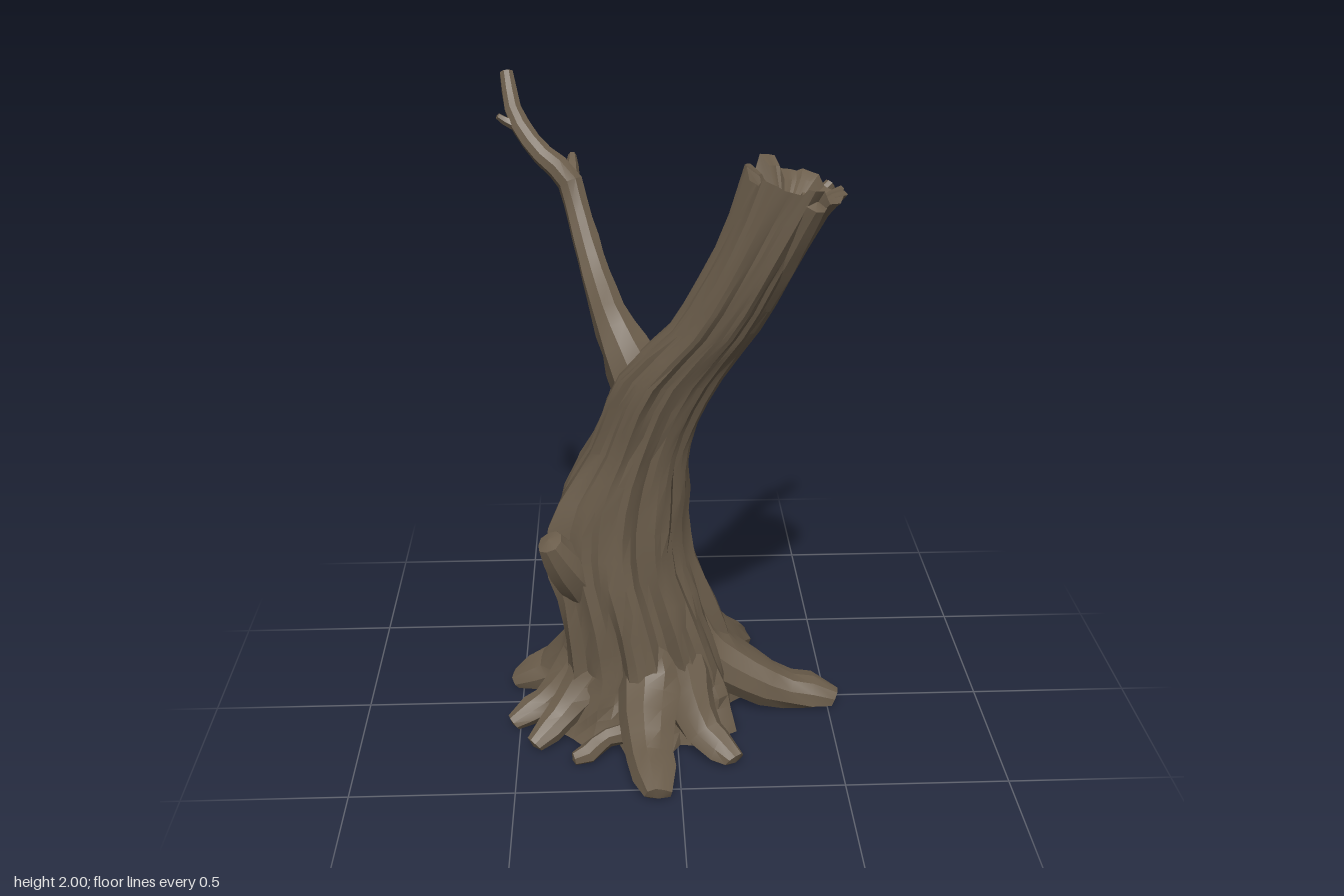
import * as THREE from 'three';
import { toCreasedNormals } from 'three/addons/utils/BufferGeometryUtils.js';

const V = (x, y, z) => new THREE.Vector3(x, y, z);

function seeded(seed) {
  return () => {
    seed = (seed * 16807) % 2147483647;
    return seed / 2147483647;
  };
}

// Skin a stack of rings and close both ends with a fan to a centre point
function loft(rings, startCentre, endCentre, crease = 0.4) {
  const n = rings[0].length, pos = [], idx = [];
  for (const ring of rings) for (const p of ring) pos.push(p.x, Math.max(0, p.y), p.z);
  for (const p of [startCentre, endCentre]) pos.push(p.x, Math.max(0, p.y), p.z);
  const s = rings.length * n, last = (rings.length - 1) * n;
  for (let j = 0; j < n; j++) {
    const k = (j + 1) % n;
    for (let i = 0; i < rings.length - 1; i++) {
      const a = i * n + j, b = i * n + k;
      idx.push(a, b, b + n, a, b + n, a + n);
    }
    idx.push(s, k, j, s + 1, last + j, last + k);
  }
  const g = new THREE.BufferGeometry();
  g.setAttribute('position', new THREE.Float32BufferAttribute(pos, 3));
  g.setIndex(idx);
  return toCreasedNormals(g, crease);
}

// Knotty tapering limb through [x, y, z, radius] points
function limb(points, sides, steps, rand, rough = 0.12) {
  const curve = new THREE.CatmullRomCurve3(points.map(p => V(p[0], p[1], p[2])));
  const frames = curve.computeFrenetFrames(steps);
  const rings = [];
  const lobes = Array.from({ length: sides }, () => 1 + (rand() - 0.5) * 2 * rough);
  for (let i = 0; i <= steps; i++) {
    const u = i / steps, t = curve.getUtoTmapping(u) * (points.length - 1);
    const k = Math.min(Math.floor(t), points.length - 2);
    const r = THREE.MathUtils.lerp(points[k][3], points[k + 1][3], t - k);
    const c = curve.getPointAt(u);
    rings.push(lobes.map((lobe, j) => {
      const a = (j / sides) * Math.PI * 2;
      const q = r * lobe * (1 + (rand() - 0.5) * rough);
      return c.clone().addScaledVector(frames.normals[i], Math.cos(a) * q)
        .addScaledVector(frames.binormals[i], Math.sin(a) * q);
    }));
  }
  const end = curve.getPointAt(1).addScaledVector(curve.getTangentAt(1), points.at(-1)[3] * 0.25);
  return loft(rings, curve.getPointAt(0), end);
}

// Leaning trunk: y, centre x, centre z, radius x, radius z
const TRUNK = [
  [0, -0.09, 0.0, 0.32, 0.33], [0.1, -0.085, 0.0, 0.29, 0.3], [0.2, -0.085, 0.01, 0.26, 0.265],
  [0.4, -0.12, 0.03, 0.228, 0.232], [0.6, -0.165, 0.038, 0.21, 0.207], [0.8, -0.155, 0.06, 0.198, 0.182],
  [1.0, -0.1, 0.1, 0.152, 0.152], [1.2, -0.025, 0.157, 0.157, 0.14], [1.4, 0.112, 0.237, 0.13, 0.126],
  [1.6, 0.21, 0.283, 0.124, 0.132], [1.83, 0.318, 0.302, 0.14, 0.15],
];

// Swelling that runs up the side to the snapped knot
function bulge(a, y) {
  const side = Math.max(0, Math.cos(a - 3.72)) ** 10;
  const d = (y - 0.66) / (y > 0.66 ? 0.16 : 0.45);
  return 0.2 * side * Math.exp(-d * d);
}

function trunkGeometry(rand) {
  const centres = new THREE.CatmullRomCurve3(TRUNK.map(r => V(r[1], r[0], r[2])));
  const radii = new THREE.CatmullRomCurve3(TRUNK.map(r => V(r[3], 0, r[4])));
  const sides = 52, steps = 24, rings = [];
  const ringAt = (t, scale, flute, move) => {
    const c = centres.getPoint(t), r = radii.getPoint(t);
    return Array.from({ length: sides }, (_, j) => {
      const a = (j / sides) * Math.PI * 2, y = c.y;
      const groove = 0.07 * Math.sin(7 * a + 2.4 * y) + 0.055 * Math.sin(11 * a - 1.6 * y + 1)
        + 0.045 * Math.sin(17 * a + 3 * y);
      const q = scale * (0.96 + flute * groove + (rand() - 0.5) * 0.06 * flute + bulge(a, y));
      const p = V(c.x + Math.cos(a) * r.x * q, y, c.z - Math.sin(a) * r.z * q);
      if (move) move(p, j);
      return p;
    });
  };
  for (let i = 0; i < steps; i++) {
    const t = i / steps;
    rings.push(ringAt(t, 1, 1 - 0.55 * t));
  }
  // Broken rim, tilted with the lean, and the splintered hollow inside it
  const chips = Array.from({ length: 13 }, (_, i) => (i % 2) * 0.02 + rand() * 0.03);
  const rim = (drop) => (p, j) => {
    p.y = 1.885 - 0.24 * (p.x - 0.18) - chips[Math.floor(j / 4)] - drop;
  };
  rings.push(ringAt(1, 1, 0.35, rim(0)), ringAt(1, 0.74, 0.35, rim(0.02)));
  return loft(rings, V(-0.09, 0, 0), V(0.29, 1.7, 0.29));
}

// Root tips: x, z, radius near the tip
const ROOTS = [
  [-0.05, -0.55, 0.06], [-0.3, -0.5, 0.057], [0.23, -0.365, 0.075], [0.09, -0.31, 0.065],
  [0.52, 0.04, 0.063], [-0.52, -0.115, 0.055], [-0.46, -0.24, 0.045], [-0.52, 0.145, 0.045],
  [-0.45, 0.27, 0.045], [-0.07, 0.55, 0.062], [0.17, 0.38, 0.05],
];

// Roots leave from inside the trunk, spread into a web and end in a blunt toe
function rootPath([x, z, r], rand) {
  const cx = -0.09, cz = 0.01, len = Math.hypot(x - cx, z - cz);
  const ux = (x - cx) / len, uz = (z - cz) / len, bend = (rand() - 0.5) * 0.05;
  const at = (d, y, rad, lean = 0, side = 0) => [cx + ux * d - uz * side - lean, y, cz + uz * d + ux * side, rad];
  const reach = (f) => 0.2 + (len - 0.2) * f;
  return [
    at(0.06, 0.6, 0.05, 0.07), at(0.13, 0.4, 0.08, 0.035), at(0.18, 0.22, 0.095),
    at(reach(0.3), 0.115, r * 1.35, 0, bend), at(reach(0.65), 0.05, r * 1.02, 0, bend),
    at(len - r * 0.5, 0.03, r * 1.02), at(len, 0.015, r * 0.65),
  ];
}

export function createModel() {
  const rand = seeded(4127);
  const bark = new THREE.MeshStandardMaterial({ color: 0x6b5d4b });
  bark.name = 'bark';
  const model = new THREE.Group();
  model.name = 'deadTree';
  const add = (name, geometry) => {
    const mesh = new THREE.Mesh(geometry, bark);
    mesh.name = name;
    model.add(mesh);
  };

  add('trunk', trunkGeometry(rand));

  ROOTS.forEach((root, i) => add('root' + (i + 1), limb(rootPath(root, rand), 9, 12, rand)));
  add('thinRoot', limb([[-0.1, 0.16, 0.18, 0.05], [-0.15, 0.07, 0.28, 0.035], [-0.23, 0.05, 0.3, 0.028],
    [-0.29, 0.02, 0.345, 0.034], [-0.325, 0.015, 0.355, 0.022]], 7, 8, rand));

  // Snapped knots on the side and at the top
  add('sideKnot', limb([[-0.25, 0.42, 0.1, 0.05], [-0.3, 0.54, 0.145, 0.075], [-0.35, 0.63, 0.185, 0.062],
    [-0.385, 0.695, 0.205, 0.042]], 9, 6, rand));
  add('topKnot', limb([[0.23, 1.47, 0.29, 0.04], [0.29, 1.64, 0.355, 0.055], [0.355, 1.79, 0.42, 0.042]], 8, 5, rand));

  // Tall branch with two twigs
  add('tallBranch', limb([[-0.08, 0.92, 0.1, 0.05], [-0.095, 1.08, 0.1, 0.085], [-0.13, 1.2, 0.085, 0.083],
    [-0.19, 1.33, 0.025, 0.056],
    [-0.245, 1.47, -0.1, 0.042], [-0.29, 1.62, -0.2, 0.036], [-0.315, 1.7, -0.235, 0.04],
    [-0.4, 1.77, -0.285, 0.032], [-0.475, 1.87, -0.36, 0.028], [-0.5, 1.985, -0.435, 0.021]], 8, 22, rand));
  add('tallBranchTwigLow', limb([[-0.3, 1.68, -0.23, 0.03], [-0.3, 1.72, -0.29, 0.022], [-0.3, 1.75, -0.335, 0.013]], 6, 3, rand));
  add('tallBranchTwigHigh', limb([[-0.46, 1.84, -0.34, 0.024], [-0.495, 1.85, -0.345, 0.017], [-0.525, 1.87, -0.34, 0.011]], 6, 3, rand));

  // Short branch with two twigs
  add('shortBranch', limb([[0.04, 1.18, 0.17, 0.05], [0.1, 1.3, 0.12, 0.068], [0.15, 1.38, 0.06, 0.052],
    [0.24, 1.47, -0.05, 0.04], [0.34, 1.56, -0.17, 0.033], [0.42, 1.61, -0.215, 0.026],
    [0.49, 1.67, -0.255, 0.019]], 8, 14, rand));
  add('shortBranchTwigLow', limb([[0.36, 1.59, -0.18, 0.025], [0.395, 1.575, -0.2, 0.018], [0.42, 1.555, -0.205, 0.011]], 6, 3, rand));
  add('shortBranchTwigHigh', limb([[0.35, 1.57, -0.18, 0.022], [0.365, 1.6, -0.2, 0.017], [0.37, 1.63, -0.215, 0.01]], 6, 3, rand));

  return model;
}
